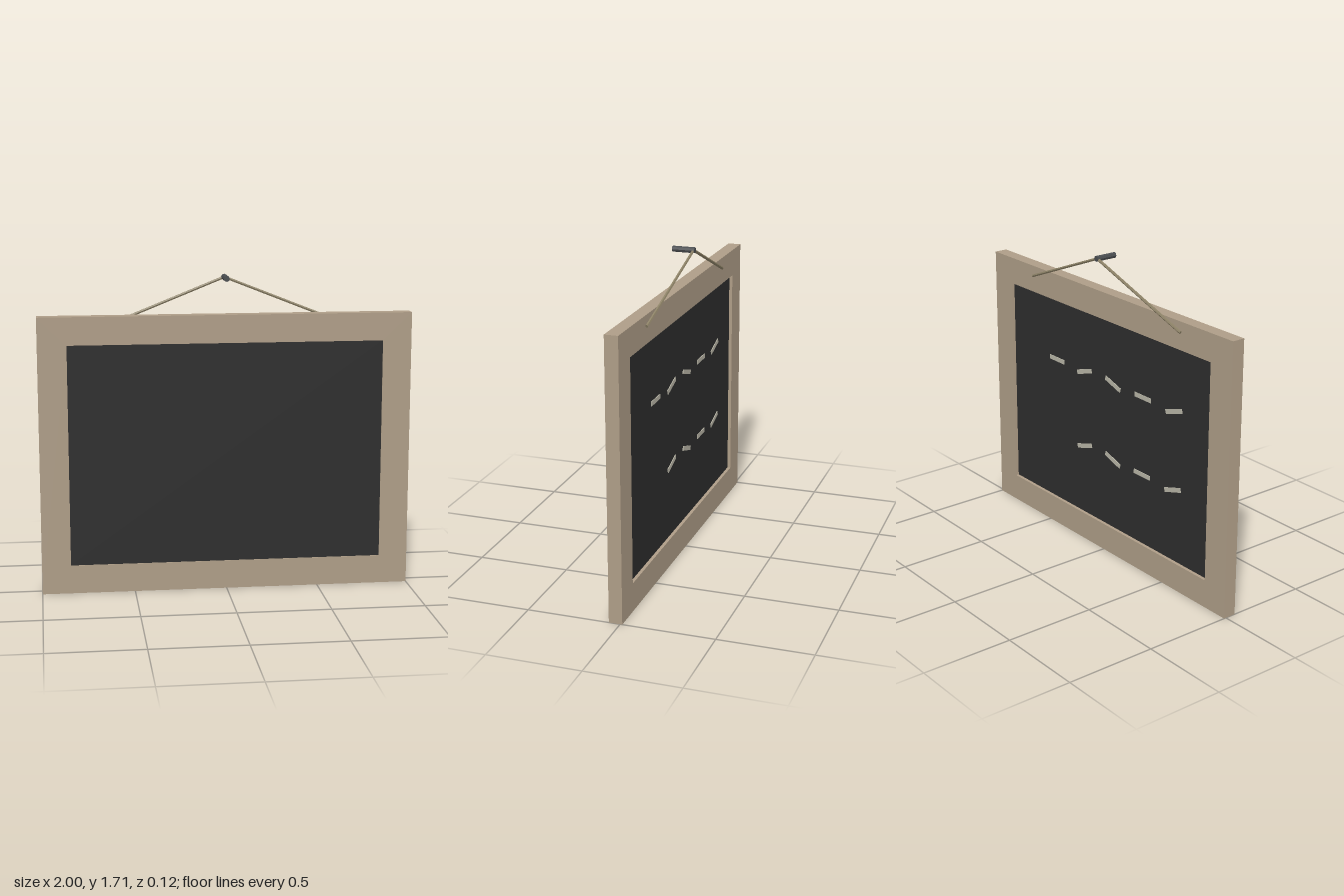
import * as THREE from 'three';

const mat = (color) => new THREE.MeshStandardMaterial({ color, flatShading: true });

export function createModel() {
  const group = new THREE.Group();
  const wood = mat(0xae9d87), slate = mat(0x2d2d2d), cord = mat(0x8c8166);
  const iron = mat(0x4a4d50), chalk = mat(0xb8b5a6);

  const add = (name, geometry, material, x = 0, y = 0, z = 0) => {
    const mesh = new THREE.Mesh(geometry, material);
    mesh.name = name;
    mesh.position.set(x, y, z);
    group.add(mesh);
    return mesh;
  };
  const rect = (Type, x, y0, y1) => new Type([
    new THREE.Vector2(-x, y0), new THREE.Vector2(x, y0),
    new THREE.Vector2(x, y1), new THREE.Vector2(-x, y1),
  ]);

  // wooden frame with a rectangular opening
  const outline = rect(THREE.Shape, 1, 0, 1.5);
  outline.holes.push(rect(THREE.Path, 0.845, 0.155, 1.35));
  add('frame', new THREE.ExtrudeGeometry(outline, { depth: 0.072, bevelEnabled: false }), wood, 0, 0, -0.012);

  // dark writing panel, set slightly inside the frame
  add('board', new THREE.BoxGeometry(1.69, 1.195, 0.05), slate, 0, 0.7525, 0.031);

  // two rows of short marks on the back, tilting in a repeating pattern
  const tilts = [0, -0.3, 0.3];
  [1.0, 0.56].forEach((y, row) => {
    for (let i = row; i < 5; i++) {
      const mark = add('chalkMark', new THREE.BoxGeometry(0.132, 0.025, 0.004), chalk, 0.44 - 0.25 * i, y, 0.004);
      mark.rotation.z = tilts[i % 3];
    }
  });

  // hanging cords from the back of the frame up to the peg
  for (const side of [-1, 1]) {
    const low = new THREE.Vector3(side * 0.625, 1.445, -0.018);
    const high = new THREE.Vector3(0, 1.69, -0.053);
    const dir = high.clone().sub(low);
    const rope = add('cord', new THREE.CylinderGeometry(0.008, 0.008, dir.length(), 6), cord);
    rope.position.copy(low).add(high).multiplyScalar(0.5);
    rope.quaternion.setFromUnitVectors(new THREE.Vector3(0, 1, 0), dir.normalize());
  }

  // wall peg
  const peg = add('peg', new THREE.CylinderGeometry(0.016, 0.016, 0.122, 8), iron, 0, 1.69, 0);
  peg.rotation.x = Math.PI / 2;

  return group;
}
